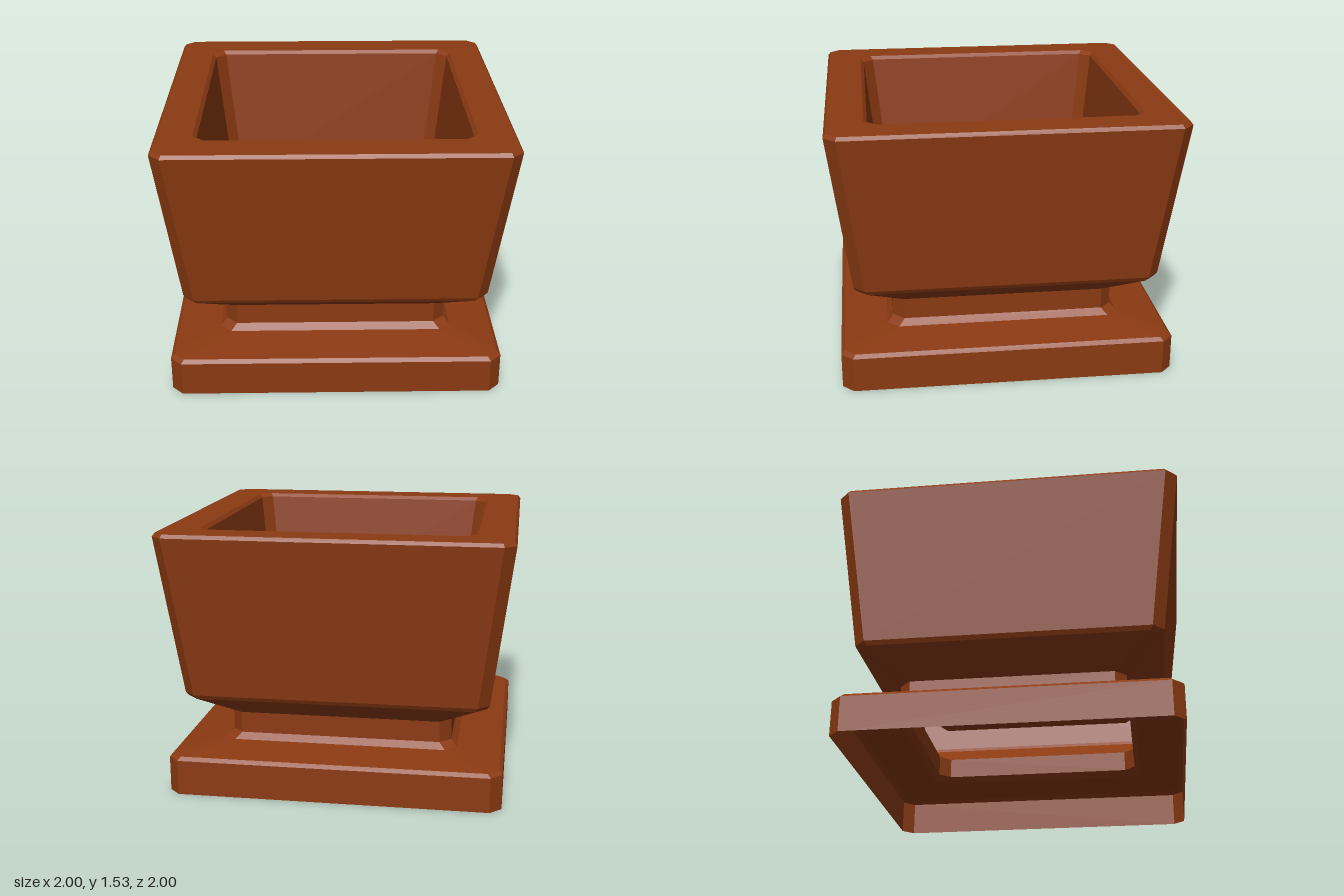
import * as THREE from 'three';

const material = new THREE.MeshStandardMaterial({
  color: 0x8b3a12, flatShading: true, side: THREE.DoubleSide,
});

// Square outline with cut corners: half width r, corner cut c, height y
function ring([r, y, c]) {
  const k = r - c;
  return [[r, -k], [k, -r], [-k, -r], [-r, -k], [-r, k], [-k, r], [k, r], [r, k]]
    .map(([x, z]) => [x, y, z]);
}

// Skin a run of outlines; optionally close the last one with a flat face
function loft(name, profile, capEnd = false) {
  const rings = profile.map(ring);
  const pos = [];
  for (let j = 0; j + 1 < rings.length; j++) {
    const a = rings[j], b = rings[j + 1];
    for (let i = 0; i < 8; i++) {
      const n = (i + 1) % 8;
      pos.push(...a[i], ...a[n], ...b[n], ...a[i], ...b[n], ...b[i]);
    }
  }
  if (capEnd) {
    const e = rings[rings.length - 1];
    for (let i = 1; i < 7; i++) pos.push(...e[0], ...e[i], ...e[i + 1]);
  }
  const geometry = new THREE.BufferGeometry();
  geometry.setAttribute('position', new THREE.Float32BufferAttribute(pos, 3));
  geometry.computeVertexNormals();
  const mesh = new THREE.Mesh(geometry, material);
  mesh.name = name;
  return mesh;
}

export function createModel() {
  const group = new THREE.Group();
  group.name = 'planter';

  // Hollow foot, open underneath
  group.add(loft('foot', [
    [0.965, 0, 0.065], [0.965, 0.205, 0.065], [0.945, 0.225, 0.06], [0.69, 0.255, 0.065],
  ]));

  // Narrow neck with a small flare where it meets the foot
  group.add(loft('neck', [
    [0.69, 0.255, 0.065], [0.655, 0.29, 0.065], [0.655, 0.415, 0.065],
  ]));

  // Flared outer wall of the bowl
  group.add(loft('bowlWall', [
    [0.655, 0.415, 0.065], [0.865, 0.555, 0.065], [0.88, 0.58, 0.065], [1, 1.51, 0.065],
  ]));

  // Thick flat rim with bevelled edges
  group.add(loft('rim', [
    [1, 1.51, 0.065], [0.985, 1.53, 0.058], [0.785, 1.53, 0.068], [0.765, 1.51, 0.062],
  ]));

  // Tapered cavity ending in a bevelled square floor
  group.add(loft('cavity', [
    [0.765, 1.51, 0.062], [0.67, 0.65, 0.06], [0.61, 0.61, 0.001],
  ], true));

  return group;
}
